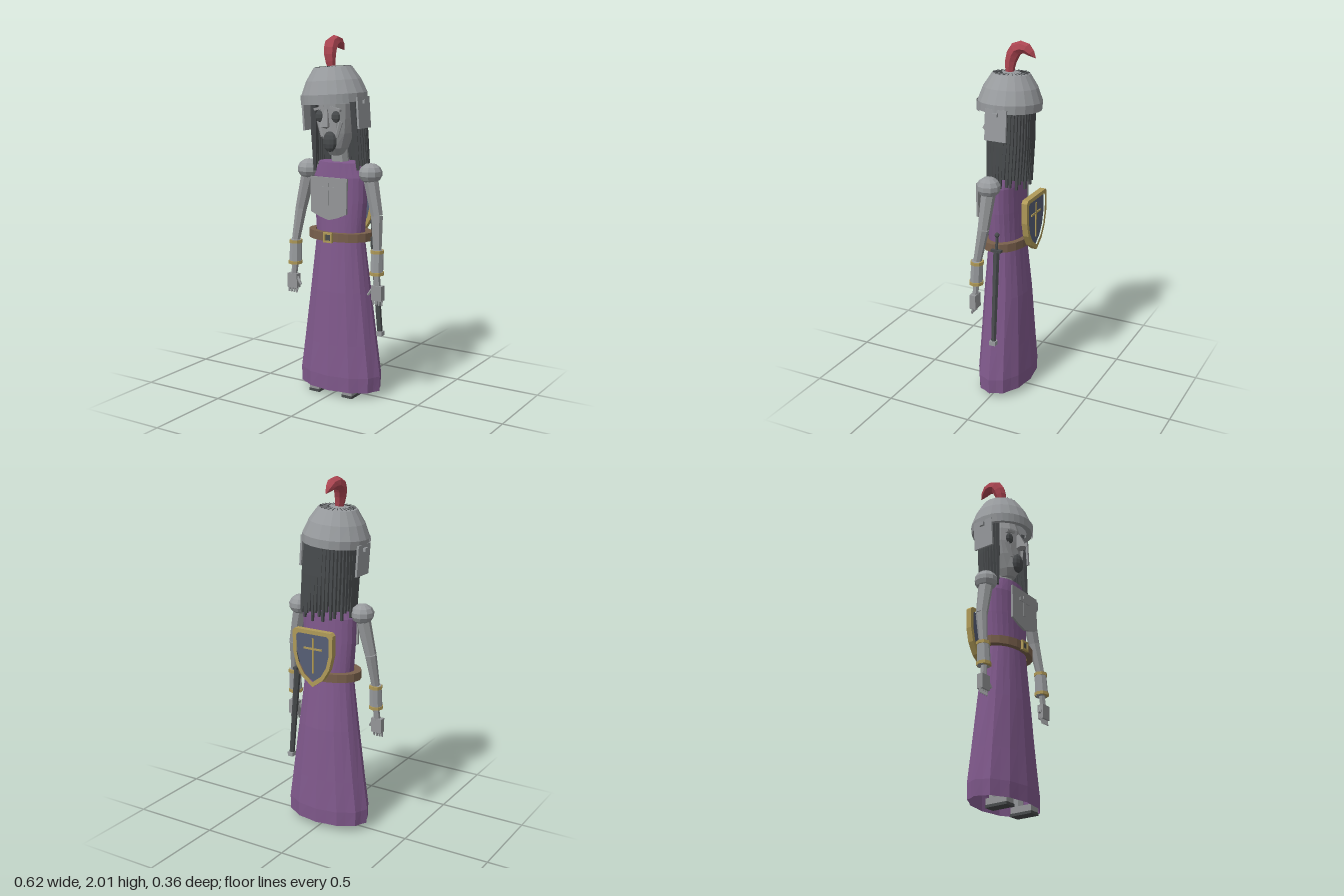
import * as THREE from 'three';

const mat = (name, color, side = THREE.FrontSide) =>
  new THREE.MeshStandardMaterial({ name, color, side, flatShading: true });

// Closed rings from top to bottom: [y, rx, rz, cx, cz]
function loft(rings, n, fold = () => 1) {
  const g = new THREE.CylinderGeometry(1, 1, 1, n, rings.length - 1, true);
  const p = g.attributes.position;
  for (let i = 0; i < p.count; i++) {
    const [y, rx, rz, cx = 0, cz = 0] = rings[Math.floor(i / (n + 1))];
    const t = ((i % (n + 1)) % n) / n * Math.PI * 2;
    const k = fold(t, y);
    p.setXYZ(i, cx + Math.sin(t) * rx * k, y, cz + Math.cos(t) * rz * k);
  }
  g.computeVertexNormals();
  return g;
}

// Tapered rod between two points
function rod(a, b, ra, rb, n = 6) {
  const A = new THREE.Vector3(...a), B = new THREE.Vector3(...b);
  const d = A.clone().sub(B);
  const g = new THREE.CylinderGeometry(ra, rb, d.length(), n);
  g.applyQuaternion(new THREE.Quaternion().setFromUnitVectors(new THREE.Vector3(0, 1, 0), d.normalize()));
  return g.translate(...A.add(B).multiplyScalar(0.5).toArray());
}

const box = (w, h, d, x, y, z) => new THREE.BoxGeometry(w, h, d).translate(x, y, z);

const ball = (rx, ry, rz, x, y, z, n = 9, m = 6) =>
  new THREE.SphereGeometry(1, n, m).scale(rx, ry, rz).translate(x, y, z);

function plate(points, depth, z, hole) {
  const shape = new THREE.Shape(points.map(p => new THREE.Vector2(...p)));
  if (hole) shape.holes.push(new THREE.Path(hole.map(p => new THREE.Vector2(...p))));
  return new THREE.ExtrudeGeometry(shape, { depth, bevelEnabled: false }).translate(0, 0, z);
}

export function createModel() {
  const root = new THREE.Group();
  root.name = 'robedKnight';
  const purple = mat('purple cloth', 0x80598c, THREE.DoubleSide);
  const steel = mat('steel', 0x989b9e, THREE.DoubleSide);
  const bone = mat('pale grey', 0x949698);
  const dark = mat('dark grey', 0x484b4d);
  const red = mat('red feather', 0xac4652);
  const gold = mat('gold', 0xb09a58);
  const brown = mat('brown leather', 0x79604c, THREE.DoubleSide);
  const blue = mat('slate blue', 0x565e75);
  const add = (name, geo, m, parent = root) => {
    const o = new THREE.Mesh(geo, m);
    o.name = name;
    parent.add(o);
    return o;
  };

  // Robe, folds deepening toward a wavy hem
  const robe = loft([
    [1.325, 0, 0], [1.32, 0.13, 0.08], [1.24, 0.165, 0.087], [1.1, 0.162, 0.09], [0.91, 0.147, 0.094],
    [0.6, 0.185, 0.12, 0, -0.004], [0.3, 0.225, 0.135, 0, -0.005], [0.12, 0.25, 0.145, 0, -0.005],
    [0.035, 0.247, 0.142, 0, -0.005],
  ], 24, (t, y) => 1 + 0.025 * Math.max(0, 1 - y) * Math.cos(t * 12));
  add('robe', robe, purple);

  // Belt and buckle
  add('belt', loft([[0.937, 0.155, 0.1], [0.937, 0.193, 0.13], [0.89, 0.193, 0.13], [0.89, 0.155, 0.1]], 20), brown);
  const sq = r => [[-r, 0.912 - r], [r, 0.912 - r], [r, 0.912 + r], [-r, 0.912 + r]];
  add('buckle', plate(sq(0.028), 0.014, 0.126, sq(0.017)), gold);
  add('buckleCentre', plate(sq(0.017), 0.006, 0.127), dark);

  // Chest plate with raised cross
  add('chestPlate', plate([[-0.11, 1.05], [-0.05, 1.025], [0.004, 1.01], [0.06, 1.025], [0.118, 1.05],
    [0.122, 1.245], [-0.112, 1.245]], 0.012, 0.122), bone);
  add('chestCrossUpright', box(0.019, 0.125, 0.006, -0.002, 1.153, 0.135), bone);
  add('chestCrossBar', box(0.088, 0.02, 0.006, -0.002, 1.185, 0.1355), bone);

  // Feet and shins under the hem
  for (const s of [-1, 1]) {
    const foot = new THREE.Group();
    foot.name = s > 0 ? 'leftFoot' : 'rightFoot';
    root.add(foot);
    add('sole', box(0.068, 0.015, 0.135, s * 0.108, 0.0075, 0.045), dark, foot);
    add('boot', box(0.062, 0.035, 0.13, s * 0.108, 0.0325, 0.045), bone, foot);
    add('shin', rod([s * 0.1, 0.5, 0], [s * 0.108, 0.04, 0.01], 0.035, 0.028), bone, foot);
  }

  // Arms
  for (const s of [-1, 1]) {
    const arm = new THREE.Group();
    arm.name = s > 0 ? 'leftArm' : 'rightArm';
    root.add(arm);
    const elbow = [s * 0.248, 1.04, 0.025], wrist = [s * 0.267, 0.86, 0.052];
    add('shoulderGuard', ball(0.065, 0.057, 0.067, s * 0.2, 1.268, 0.015, 10, 7), steel, arm);
    add('upperArm', rod([s * 0.2, 1.25, 0.015], elbow, 0.042, 0.033, 7), bone, arm);
    add('forearm', rod(elbow, wrist, 0.033, 0.024, 7), bone, arm);
    add('cuff', rod(wrist, [s * 0.268, 0.72, 0.06], 0.034, 0.037, 8), steel, arm);
    for (const [y, r, z] of [[0.85, 0.038, 0.053], [0.73, 0.041, 0.059]])
      add('cuffBand', new THREE.CylinderGeometry(r, r, 0.018, 8).translate(s * 0.268, y, z), gold, arm);
    add('wrist', rod([s * 0.268, 0.72, 0.06], [s * 0.276, 0.65, 0.063], 0.018, 0.018), bone, arm);
    add('palm', box(0.064, 0.082, 0.036, s * 0.277, 0.622, 0.064), bone, arm);
    for (let i = 0; i < 4; i++) {
      const x = s * 0.277 + (i - 1.5) * 0.017;
      add('finger', rod([x, 0.59, 0.064], [x * 1.01, 0.553, 0.07], 0.009, 0.005, 5), bone, arm);
    }
    add('thumb', rod([s * 0.25, 0.645, 0.066], [s * 0.222, 0.605, 0.074], 0.011, 0.007, 5), bone, arm);
  }

  // Head and face
  const head = new THREE.Group();
  head.name = 'head';
  root.add(head);
  add('neck', rod([-0.01, 1.42, 0], [0, 1.3, 0], 0.045, 0.05, 8), bone, head);
  add('skull', loft([[1.76, 0, 0, -0.03], [1.72, 0.08, 0.08, -0.03], [1.64, 0.1, 0.105, -0.025], [1.56, 0.1, 0.105, -0.025],
    [1.48, 0.088, 0.1, -0.018, 0.005], [1.4, 0.06, 0.08, -0.012, 0.02], [1.36, 0.04, 0.05, -0.01, 0.02],
    [1.35, 0, 0, -0.01, 0.02]], 12), bone, head);
  for (const s of [-1, 1]) {
    add('eye', ball(0.029, 0.033, 0.016, -0.027 + s * 0.052, 1.572, 0.09, 8, 5), dark, head);
    add('brow', box(0.068, 0.014, 0.02, 0, 0, 0), bone, head).position.set(-0.027 + s * 0.05, 1.615, 0.092);
    head.children.at(-1).rotation.z = -s * 0.25;
    add('cheekbone', rod([-0.02 + s * 0.07, 1.545, 0.08], [-0.016 + s * 0.045, 1.46, 0.09], 0.014, 0.01, 5), bone, head);
  }
  add('nose', loft([[1.61, 0.008, 0.01, -0.023, 0.11], [1.52, 0.027, 0.032, -0.02, 0.133],
    [1.505, 0, 0, -0.02, 0.11]], 5), bone, head);
  add('openMouth', ball(0.043, 0.058, 0.028, -0.01, 1.437, 0.095, 10, 7), dark, head);

  // Hair strands hung around the sides and back
  const hair = new THREE.Group();
  hair.name = 'hair';
  root.add(hair);
  const count = 30;
  for (let i = 0; i < count; i++) {
    const t = THREE.MathUtils.degToRad(62 + 236 * i / (count - 1));
    const sx = Math.sin(t), cz = Math.cos(t);
    const low = 1.285 - 0.03 * Math.max(0, -cz) + 0.03 * Math.sin(i * 2.3);
    const top = [-0.022 + sx * 0.142, 1.69, cz * 0.115 - 0.005];
    const mid = [-0.01 + sx * 0.15, 1.48, cz * 0.116 - 0.005];
    add('strand', rod(top, mid, 0.017, 0.018, 5), dark, hair);
    add('strandTip', rod(mid, [sx * 0.158 + 0.003, low, cz * 0.117 - 0.005], 0.018, 0.009, 5), dark, hair);
  }

  // Helmet, tipped slightly sideways
  const helmet = new THREE.Group();
  helmet.name = 'helmet';
  helmet.position.set(-0.036, 1.652, 0.004);
  helmet.rotation.z = 0.07;
  root.add(helmet);
  add('dome', loft([[0.192, 0, 0], [0.183, 0.107, 0.103], [0.112, 0.154, 0.148], [0.038, 0.186, 0.175],
    [-0.008, 0.183, 0.172], [-0.004, 0.15, 0.14]], 20), steel, helmet);
  for (let i = 0; i < 24; i++) {
    const rib = add('crownGroove', box(0.003, 0.003, 0.055, 0, 0.1865, 0.072), dark, helmet);
    rib.rotation.y = i / 24 * Math.PI * 2;
  }
  add('browBand', new THREE.CylinderGeometry(0.191, 0.189, 0.05, 12, 1, true, -1.25, 2.2)
    .scale(1, 1, 0.94).translate(0, 0.012, 0), steel, helmet);
  for (const s of [-1, 1]) {
    add('cheekGuard', box(0.012, 0.17, 0.125, s * 0.176, -0.07, -0.004), steel, helmet);
    add('guardHinge', box(0.02, 0.02, 0.03, s * 0.186, -0.012, -0.004), steel, helmet);
  }

  // Plume, swelling then tapering as it curls backward
  const curve = new THREE.CatmullRomCurve3([[-0.05, 1.83, 0.015], [-0.06, 1.9, 0.012], [-0.067, 1.96, -0.015],
    [-0.066, 1.972, -0.07], [-0.06, 1.925, -0.132]].map(p => new THREE.Vector3(...p)));
  const plume = new THREE.TubeGeometry(curve, 8, 1, 7);
  const pp = plume.attributes.position, v = new THREE.Vector3();
  const radii = [0.022, 0.028, 0.033, 0.037, 0.038, 0.035, 0.03, 0.02, 0.002];
  for (let i = 0; i < pp.count; i++) {
    const row = Math.floor(i / 8), c = curve.getPointAt(row / 8);
    v.fromBufferAttribute(pp, i).sub(c).multiplyScalar(radii[row]).add(c);
    pp.setXYZ(i, v.x, v.y, v.z);
  }
  add('plume', plume, red);

  // Shield on the back
  const outline = [[-0.127, 1.175], [-0.112, 1.19], [0.112, 1.19], [0.127, 1.175], [0.125, 1.06], [0.105, 0.98],
    [0.065, 0.915], [0, 0.868], [-0.065, 0.915], [-0.105, 0.98], [-0.125, 1.06]];
  const inner = outline.map(([x, y]) => [x * 0.82, 1.05 + (y - 1.05) * 0.84]);
  add('shieldRim', plate(outline, 0.034, -0.178, inner), gold);
  add('shieldFace', plate(inner, 0.02, -0.17), blue);
  add('shieldCrossUpright', box(0.01, 0.2, 0.006, 0, 1.045, -0.172), gold);
  add('shieldCrossBar', box(0.115, 0.01, 0.006, 0, 1.085, -0.1725), gold);

  // Sheathed sword at the left hip
  const sword = new THREE.Group();
  sword.name = 'sword';
  root.add(sword);
  add('pommel', ball(0.014, 0.014, 0.014, 0.188, 0.995, -0.028, 8, 6), dark, sword);
  add('grip', rod([0.188, 0.99, -0.028], [0.195, 0.91, -0.028], 0.009, 0.009), dark, sword);
  add('crossGuard', box(0.024, 0.014, 0.06, 0.196, 0.905, -0.028), dark, sword);
  add('scabbard', rod([0.196, 0.9, -0.028], [0.24, 0.37, -0.03], 0.019, 0.015), dark, sword);
  add('scabbardTip', box(0.034, 0.025, 0.036, 0.242, 0.364, -0.03), steel, sword);
  return root;
}
